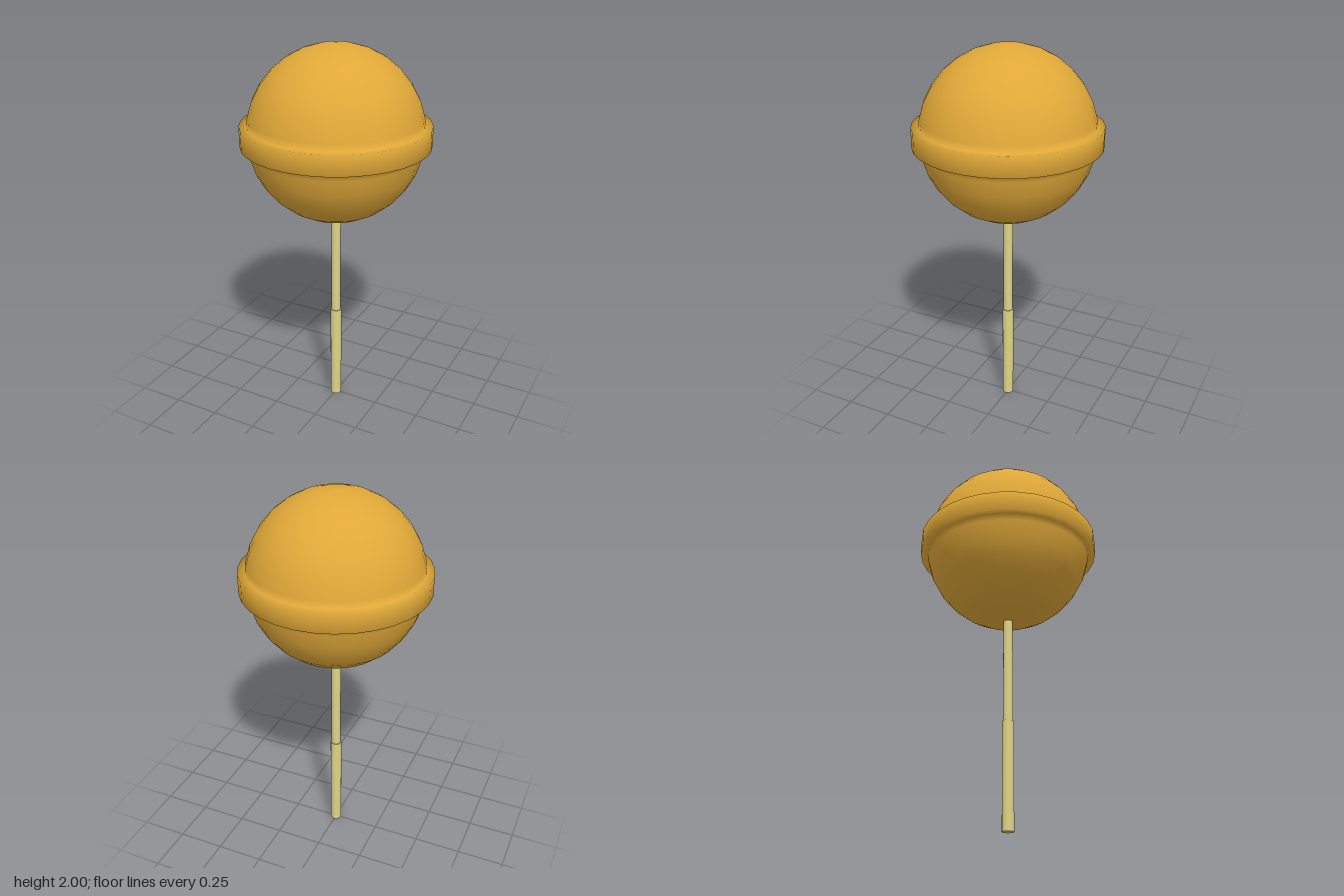
import * as THREE from 'three';

export function createModel() {
  const group = new THREE.Group();
  const candyMat = new THREE.MeshStandardMaterial({ name: 'amberCandy', color: 0xe0a838 });
  const stickMat = new THREE.MeshStandardMaterial({ name: 'paleStick', color: 0xded588 });

  const add = (name, geometry, material, y = 0) => {
    const mesh = new THREE.Mesh(geometry, material);
    mesh.name = name;
    mesh.position.y = y;
    group.add(mesh);
  };

  // Candy ball with a raised band round its middle, as one smooth turned profile
  const radius = 0.447, centre = 1.553, bandHalf = 0.052, bandRadius = 0.48, steps = 16;
  const seam = Math.asin(bandHalf / radius);
  const lower = [];
  for (let i = 0; i < steps / 2; i++) {
    const a = -Math.PI / 2 + (i * Math.PI) / steps;
    lower.push(new THREE.Vector2(Math.max(0, radius * Math.cos(a)), radius * Math.sin(a)));
  }
  lower.push(new THREE.Vector2(radius * Math.cos(seam), -bandHalf));
  lower.push(new THREE.Vector2(bandRadius, -bandHalf));
  const upper = lower.map((p) => new THREE.Vector2(p.x, -p.y)).reverse();
  add('candyBall', new THREE.LatheGeometry([...lower, ...upper], 32), candyMat, centre);

  // Stick: slim shaft running into the candy, with a thicker grip below
  const gripTop = 0.55, shaftTop = 1.2;
  add('stickShaft', new THREE.CylinderGeometry(0.025, 0.025, shaftTop - gripTop, 16),
    stickMat, (gripTop + shaftTop) / 2);
  add('stickGrip', new THREE.CylinderGeometry(0.03, 0.03, gripTop, 16), stickMat, gripTop / 2);

  return group;
}
